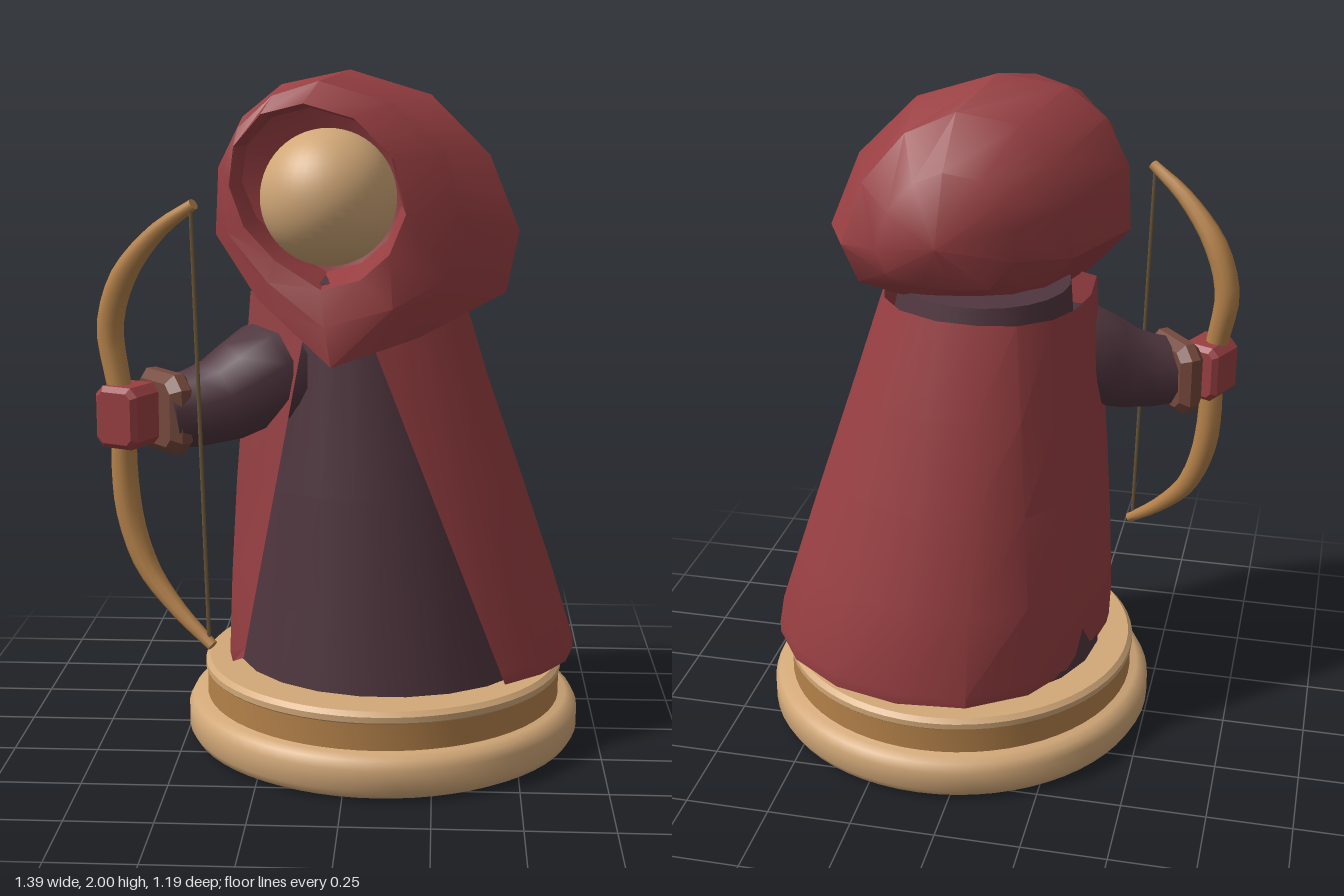
import * as THREE from 'three';
import { toCreasedNormals } from 'three/addons/utils/BufferGeometryUtils.js';

const V = (x, y, z) => new THREE.Vector3(x, y, z);
const mat = (name, color, side = THREE.FrontSide) => {
  const m = new THREE.MeshStandardMaterial({ color, side });
  m.name = name;
  return m;
};

// Skin between loops of points; loops run counter-clockwise about the direction of travel
function loft(loops, closed = true, crease = 0.5) {
  const pos = [];
  const tri = (a, b, c) => {
    if (a.distanceTo(b) < 1e-5 || b.distanceTo(c) < 1e-5 || a.distanceTo(c) < 1e-5) return;
    for (const p of [a, b, c]) pos.push(p.x, p.y, p.z);
  };
  const n = loops[0].length;
  for (let k = 0; k < loops.length - 1; k++) {
    for (let i = 0; i < (closed ? n : n - 1); i++) {
      const j = (i + 1) % n;
      const a = loops[k][i], b = loops[k][j], c = loops[k + 1][j], d = loops[k + 1][i];
      tri(a, b, c);
      tri(a, c, d);
    }
  }
  const g = new THREE.BufferGeometry();
  g.setAttribute('position', new THREE.Float32BufferAttribute(pos, 3));
  return toCreasedNormals(g, crease);
}

const point = (p, n) => Array.from({ length: n }, () => p.clone());

// Round limb along a smooth path with a radius for each path point
function limb(path, radii, sides, steps) {
  const curve = new THREE.CatmullRomCurve3(path);
  const { normals, binormals } = curve.computeFrenetFrames(steps, false);
  const loops = [];
  for (let s = 0; s <= steps; s++) {
    const u = s / steps, f = u * (radii.length - 1);
    const i = Math.min(Math.floor(f), radii.length - 2);
    const r = THREE.MathUtils.lerp(radii[i], radii[i + 1], f - i);
    const c = curve.getPointAt(u);
    const ring = [];
    for (let q = 0; q < sides; q++) {
      const a = (q / sides) * Math.PI * 2;
      ring.push(c.clone().addScaledVector(normals[s], r * Math.cos(a)).addScaledVector(binormals[s], r * Math.sin(a)));
    }
    loops.push(ring);
  }
  return loft([point(curve.getPointAt(0), sides), ...loops, point(curve.getPointAt(1), sides)], true, 0.8);
}

// Block with clipped edges, for the cuff and hand
function block(w, h, d, b) {
  const s = new THREE.Shape();
  const x = w / 2 - b, y = h / 2 - b, c = b;
  s.moveTo(-x + c, -y);
  [[x - c, -y], [x, -y + c], [x, y - c], [x - c, y], [-x + c, y], [-x, y - c], [-x, -y + c]].forEach(p => s.lineTo(...p));
  const g = new THREE.ExtrudeGeometry(s, { depth: d - 2 * b, bevelSize: b, bevelThickness: b, bevelSegments: 1 });
  return g.translate(0, 0, -d / 2 + b);
}

export function createModel() {
  const group = new THREE.Group();
  const red = mat('red cloth', 0x983f42);
  const cloakRed = mat('red cloak cloth', 0x983f42, THREE.DoubleSide);
  const purple = mat('dark plum cloth', 0x50363f);
  const paleWood = mat('pale wood', 0xd2a878);
  const wood = mat('brown wood', 0xb5824a);
  const leather = mat('brown leather', 0x74483c);
  const cord = mat('bowstring cord', 0x6b5638);
  const add = (name, geometry, material, parent = group) => {
    const m = new THREE.Mesh(geometry, material);
    m.name = name;
    parent.add(m);
    return m;
  };

  // Round stepped base
  const disc = (name, profile, material) => {
    const pts = profile.map(([r, y]) => new THREE.Vector2(r, y));
    add(name, toCreasedNormals(new THREE.LatheGeometry(pts, 64), 0.6), material).position.x = 0.095;
  };
  disc('basePlinth', [[0, 0], [0.56, 0], [0.582, 0.012], [0.595, 0.035], [0.595, 0.095], [0.582, 0.12], [0.56, 0.132], [0, 0.132]], paleWood);
  disc('baseBand', [[0, 0.13], [0.538, 0.13], [0.538, 0.21], [0, 0.21]], wood);
  disc('baseTop', [[0, 0.207], [0.535, 0.207], [0.543, 0.215], [0.543, 0.232], [0.53, 0.245], [0, 0.245]], paleWood);

  // Robe: leaning cone of oval rings
  const ring = (y, cx, cz, rx, rz) => Array.from({ length: 22 }, (_, i) => {
    const a = (i / 22) * Math.PI * 2;
    return V(cx + rx * Math.cos(a), y, cz - rz * Math.sin(a));
  });
  add('robe', loft([
    point(V(0.11, 0.246, 0), 22), ring(0.246, 0.11, -0.01, 0.455, 0.43), ring(0.8, 0.07, 0.01, 0.35, 0.335),
    ring(1.41, 0.02, 0.03, 0.25, 0.25), point(V(0.02, 1.42, 0.03), 22),
  ]), purple);

  // Cloak: open shell from the left front edge round the back to the right front edge
  const hem = [[0.46, 0.31], [0.58, 0.22], [0.66, 0.1], [0.69, -0.03], [0.65, -0.18], [0.55, -0.33], [0.38, -0.45], [0.18, -0.5],
    [-0.03, -0.48], [-0.2, -0.37], [-0.29, -0.22], [-0.34, -0.05], [-0.365, 0.1], [-0.35, 0.24], [-0.3, 0.315]];
  const collar = [[0.02, 0.3], [0.15, 0.28], [0.26, 0.22], [0.31, 0.12], [0.32, 0], [0.29, -0.11], [0.22, -0.2], [0.1, -0.26],
    [-0.02, -0.27], [-0.13, -0.25], [-0.22, -0.18], [-0.27, -0.08], [-0.29, 0.04], [-0.28, 0.2], [-0.1, 0.3]];
  const cloakLoops = [[0, 0.02], [0.03, 0], [0.25, -0.015], [0.5, -0.02], [0.75, -0.01], [1, 0]].map(([t, inset]) =>
    hem.map(([x, z], i) => {
      const [tx, tz] = collar[i];
      const low = i === 14 ? 0.32 : i === 13 ? 0.28 : 0.25;
      const px = THREE.MathUtils.lerp(x, tx, t), pz = THREE.MathUtils.lerp(z, tz, t);
      const keep = i === 0 || i === 14 ? 1 : 1 - inset;
      return V(0.1 + (px - 0.1) * keep, THREE.MathUtils.lerp(low, 1.38, t), pz * keep);
    }));
  add('cloak', loft(cloakLoops, false, 0.45), cloakRed);

  // Hood: loops from the back, over the widest outline, to the face opening and inside it
  const pts = a => a.map(p => V(...p));
  const back = pts([[0.08, 1.93, -0.08], [-0.1, 1.9, -0.06], [-0.2, 1.8, -0.08], [-0.25, 1.68, -0.07], [-0.25, 1.52, -0.05], [-0.13, 1.37, 0],
    [0.05, 1.36, -0.05], [0.2, 1.38, -0.1], [0.36, 1.43, -0.13], [0.4, 1.55, -0.16], [0.34, 1.73, -0.14], [0.22, 1.87, -0.11]]);
  const outline = pts([[0, 2, 0.1], [-0.19, 1.96, 0.16], [-0.3, 1.87, 0.18], [-0.37, 1.73, 0.18], [-0.38, 1.54, 0.18], [-0.25, 1.37, 0.3],
    [-0.04, 1.19, 0.38], [0.2, 1.26, 0.28], [0.45, 1.37, 0.12], [0.49, 1.54, 0.04], [0.4, 1.76, 0.05], [0.23, 1.93, 0.07]]);
  const brow = pts([[-0.08, 1.97, 0.24], [-0.21, 1.93, 0.24], [-0.31, 1.84, 0.22], [-0.355, 1.71, 0.21], [-0.34, 1.55, 0.24], [-0.22, 1.42, 0.32],
    [-0.06, 1.3, 0.37], [0.13, 1.35, 0.35], [0.28, 1.43, 0.29], [0.33, 1.58, 0.25], [0.27, 1.78, 0.22], [0.12, 1.91, 0.22]]);
  const rim = pts([[-0.12, 1.91, 0.29], [-0.24, 1.88, 0.27], [-0.32, 1.79, 0.24], [-0.335, 1.68, 0.23], [-0.29, 1.57, 0.27], [-0.2, 1.48, 0.31],
    [-0.07, 1.4, 0.33], [0.04, 1.43, 0.34], [0.12, 1.5, 0.335], [0.165, 1.61, 0.32], [0.13, 1.76, 0.31], [0.02, 1.87, 0.3]]);
  const pole = V(0.1, 1.59, -0.265);
  const crown = back.map(p => p.clone().lerp(pole, 0.4).setZ(p.z * 0.25 - 0.19));
  const inner = rim.map(p => V(-0.08 + (p.x + 0.08) * 0.93, 1.66 + (p.y - 1.66) * 0.93, 0.06));
  add('hood', loft([point(pole, 12), crown, back, outline, brow, rim, inner, point(V(-0.06, 1.65, -0.02), 12)], true, 0.6), red);

  // Blank round head inside the hood
  add('head', new THREE.SphereGeometry(0.197, 40, 28), paleWood).position.set(-0.062, 1.64, 0.115);

  // Outstretched right arm
  add('sleeve', limb([V(-0.1, 1.2, 0.08), V(-0.24, 1.14, 0.18), V(-0.37, 1.07, 0.25), V(-0.51, 1.045, 0.32)],
    [0.12, 0.155, 0.13, 0.105], 10, 6), purple);
  const forearm = new THREE.Group();
  forearm.name = 'forearm';
  forearm.position.set(-0.515, 1.05, 0.305);
  forearm.rotation.y = -0.88;
  group.add(forearm);
  add('cuff', block(0.23, 0.23, 0.08, 0.025), leather, forearm);
  const hand = add('hand', block(0.14, 0.175, 0.14, 0.015), red);
  hand.position.set(-0.61, 1.05, 0.365);
  hand.rotation.y = -0.45;

  // Bow bent in a slanted upright plane
  const bowPath = [[-0.4, 1.65], [-0.51, 1.57], [-0.615, 1.44], [-0.658, 1.3], [-0.64, 1.16], [-0.62, 1.05], [-0.625, 0.92],
    [-0.61, 0.76], [-0.56, 0.62], [-0.47, 0.51], [-0.365, 0.42]].map(([x, y]) => V(x, y, 0.36 + (x + 0.64) * 0.51));
  add('bow', limb(bowPath, [0.016, 0.026, 0.036, 0.038, 0.034, 0.036, 0.038, 0.034, 0.024, 0.016], 10, 32), wood);
  const top = V(-0.408, 1.64, 0.482), bottom = V(-0.375, 0.43, 0.495);
  const string = add('bowstring', new THREE.CylinderGeometry(0.006, 0.006, top.distanceTo(bottom), 6), cord);
  string.position.copy(top).add(bottom).multiplyScalar(0.5);
  string.quaternion.setFromUnitVectors(V(0, 1, 0), top.clone().sub(bottom).normalize());

  return group;
}
